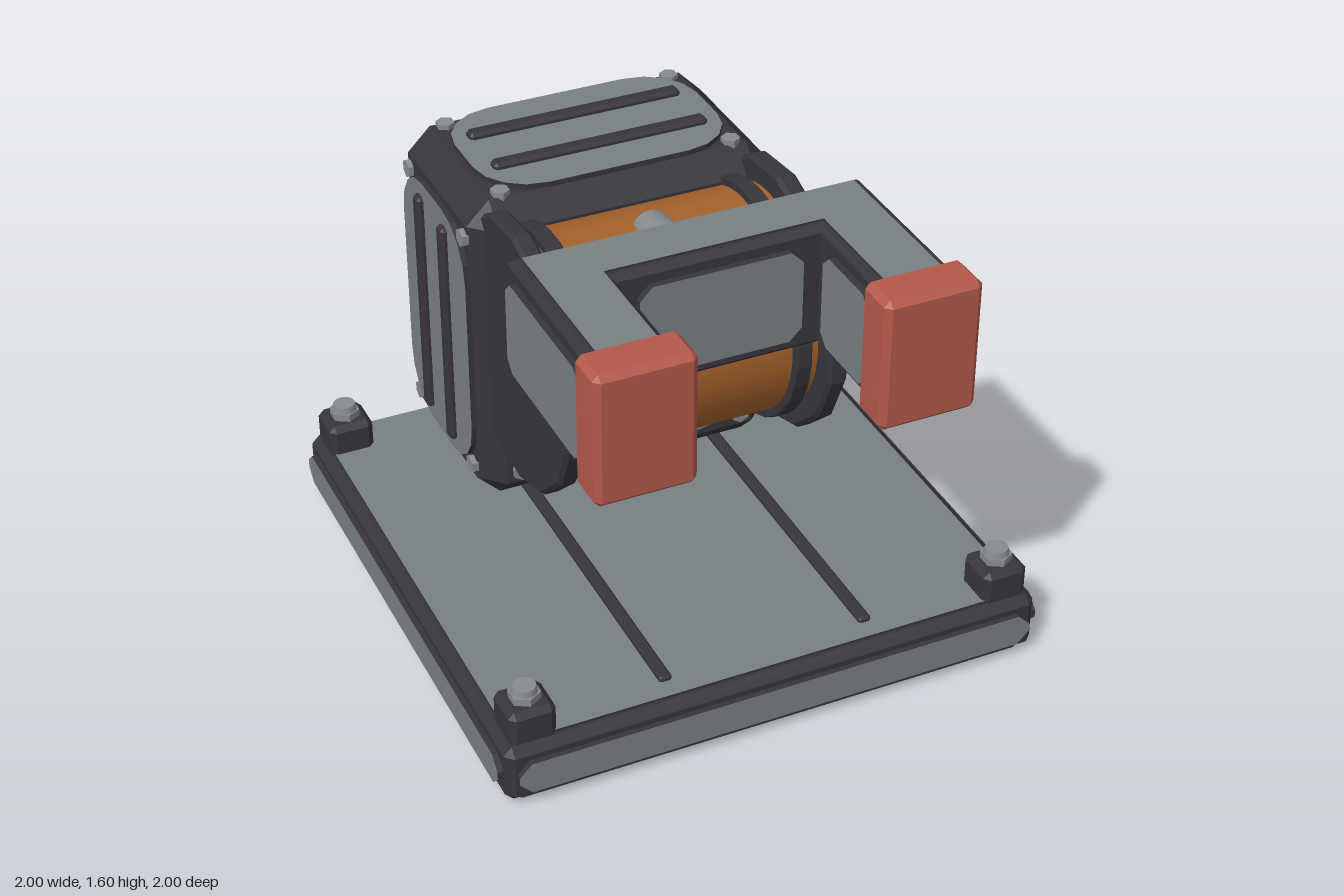
import * as THREE from 'three';
import { ConvexGeometry } from 'three/addons/geometries/ConvexGeometry.js';

const mat = (name, color) => {
  const m = new THREE.MeshStandardMaterial({ color });
  m.name = name;
  return m;
};

// Give every face its own normal
function facet(geo) {
  const g = geo.toNonIndexed();
  g.computeVertexNormals();
  return g;
}

// Box with all edges cut at 45 degrees
function chamferBox(w, h, d, c) {
  const pts = [];
  const half = [w / 2, h / 2, d / 2];
  for (const sx of [-1, 1]) for (const sy of [-1, 1]) for (const sz of [-1, 1]) {
    for (let full = 0; full < 3; full++) {
      const p = [sx, sy, sz].map((s, i) => s * (half[i] - (i === full ? 0 : c)));
      pts.push(new THREE.Vector3(...p));
    }
  }
  return new ConvexGeometry(pts);
}

// Rectangle with corners cut into a few straight segments
function panelShape(w, h, r, segs) {
  const pts = [];
  const corners = [[1, 1], [-1, 1], [-1, -1], [1, -1]];
  corners.forEach(([sx, sy], k) => {
    for (let i = 0; i <= segs; i++) {
      const a = (k + i / segs) * Math.PI / 2;
      pts.push(new THREE.Vector2(sx * (w / 2 - r) + r * Math.cos(a), sy * (h / 2 - r) + r * Math.sin(a)));
    }
  });
  return new THREE.Shape(pts);
}

// U outline for the magnet, drawn with y = -z
function yokeShape(outer, inner, back, bridge, tip) {
  return new THREE.Shape([
    [-outer, -back], [-outer, -tip], [-inner, -tip], [-inner, -bridge],
    [inner, -bridge], [inner, -tip], [outer, -tip], [outer, -back],
  ].map(([x, y]) => new THREE.Vector2(x, y)));
}

export function createModel() {
  const dark = mat('dark frame', 0x37353c);
  const grey = mat('grey panel', 0x798083);
  const steel = mat('steel', 0x868b8d);
  const copper = mat('copper winding', 0xa5622b);
  const red = mat('red pole', 0xb5594b);
  const model = new THREE.Group();
  model.name = 'electromagnetMachine';

  const add = (parent, name, geo, material, x = 0, y = 0, z = 0) => {
    const m = new THREE.Mesh(geo, material);
    m.name = name;
    m.position.set(x, y, z);
    parent.add(m);
    return m;
  };
  const group = (parent, name, x = 0, y = 0, z = 0) => {
    const g = new THREE.Group();
    g.name = name;
    g.position.set(x, y, z);
    parent.add(g);
    return g;
  };
  // Grey plate with a dark rim, lying in the local XY plane and facing +z
  const panel = (parent, name, w, h, r, segs, depth) => add(parent, name,
    new THREE.ExtrudeGeometry(panelShape(w, h, r, segs), { depth, bevelEnabled: false }), [grey, dark]);
  const hexBolt = (r, h) => facet(new THREE.CylinderGeometry(r, r, h, 6));

  // Base slab with a plate on every side
  const base = group(model, 'base');
  add(base, 'baseFrame', chamferBox(1.96, 0.22, 1.96, 0.03), dark, 0, 0.118, 0);
  for (let i = 0; i < 4; i++) {
    const side = group(base, 'baseSide');
    side.rotation.y = i * Math.PI / 2;
    panel(side, 'baseSidePanel', 1.89, 0.12, 0.045, 1, 0.02).position.set(0, 0.118, 0.98);
  }
  const topPlate = panel(base, 'baseTopPlate', 1.88, 1.88, 0.03, 1, 0.014);
  topPlate.rotation.x = -Math.PI / 2;
  topPlate.position.y = 0.224;
  const bottomPlate = panel(base, 'baseBottomPlate', 1.9, 1.9, 0.03, 1, 0.014);
  bottomPlate.rotation.x = Math.PI / 2;
  bottomPlate.position.y = 0.014;
  for (const x of [-0.37, 0.37]) add(base, 'baseRail', chamferBox(0.045, 0.04, 1.74, 0.008), dark, x, 0.238, 0);
  for (const x of [-0.87, 0.87]) for (const z of [-0.87, 0.87]) {
    const lug = group(base, 'cornerLug', x, 0, z);
    add(lug, 'lugBlock', chamferBox(0.165, 0.14, 0.165, 0.022), dark, 0, 0.28, 0);
    add(lug, 'lugNut', hexBolt(0.055, 0.03), steel, 0, 0.362, 0);
    add(lug, 'lugBoltHead', new THREE.CylinderGeometry(0.04, 0.046, 0.025, 12), steel, 0, 0.387, 0);
  }

  // Motor housing: chamfered block with ribbed, bolted panels
  const housing = group(model, 'housing', 0, 0.855, -0.6);
  add(housing, 'housingBlock', chamferBox(1.13, 1.21, 0.73, 0.085), dark);
  const faces = [
    { name: 'front', rot: [0, 0], out: 0.365, w: 0.92, h: 0.99, ribs: 0.19, len: 0.88 },
    { name: 'back', rot: [0, Math.PI], out: 0.365, w: 0.92, h: 0.99 },
    { name: 'left', rot: [0, Math.PI / 2], out: 0.565, w: 0.6, h: 0.99, ribs: 0.114, len: 0.88 },
    { name: 'right', rot: [0, -Math.PI / 2], out: 0.565, w: 0.6, h: 0.99, ribs: 0.114, len: 0.88 },
    { name: 'top', rot: [-Math.PI / 2, 0], out: 0.605, w: 0.92, h: 0.57, ribs: 0.114, len: 0.8, across: true },
  ];
  for (const f of faces) {
    const g = group(housing, f.name + 'HousingFace');
    g.rotation.set(f.rot[0], f.rot[1], 0);
    panel(g, 'housingPanel', f.w, f.h, f.w > 0.7 && f.h > 0.7 ? 0.25 : 0.2, 4, 0.02).position.z = f.out;
    if (f.ribs) for (const s of [-1, 1]) {
      const rib = add(g, 'housingRib', chamferBox(0.056, f.len, 0.045, 0.012), dark, s * f.ribs, 0, f.out + 0.02);
      if (f.across) {
        rib.rotation.z = Math.PI / 2;
        rib.position.set(0, s * f.ribs, f.out + 0.02);
      }
    }
    const bx = f.w > 0.7 ? 0.43 : 0.257;
    const by = f.h > 0.7 ? 0.47 : 0.257;
    for (const x of [-bx, bx]) for (const y of [-by, by]) {
      add(g, 'housingBolt', hexBolt(0.034, 0.03), steel, x, y, f.out + 0.003).rotation.x = Math.PI / 2;
    }
  }

  // Drum: copper winding, two bands and two faceted cheeks, axis along x
  const drum = group(model, 'drum', 0, 1, -0.07);
  const winding = new THREE.CylinderGeometry(0.4, 0.4, 0.92, 48);
  add(drum, 'winding', winding.rotateZ(Math.PI / 2), copper);
  const disc = (r, w, c, segs) => facet(new THREE.LatheGeometry([
    [0, -w / 2], [r - c, -w / 2], [r, -w / 2 + c], [r, w / 2 - c], [r - c, w / 2], [0, w / 2],
  ].map(([x, y]) => new THREE.Vector2(x, y)), segs, Math.PI / segs)).rotateZ(Math.PI / 2);
  for (const s of [-1, 1]) {
    add(drum, 'drumBand', disc(0.432, 0.06, 0.004, 32), dark, s * 0.376, 0, 0);
    add(drum, 'drumCheek', disc(0.492, 0.075, 0.014, 15), dark, s * 0.48, 0, 0);
  }

  // Horseshoe magnet
  const magnet = group(model, 'magnet');
  const yoke = new THREE.ExtrudeGeometry(yokeShape(0.63, 0.36, 0.222, 0.47, 0.95), {
    depth: 0.41, bevelEnabled: true, bevelThickness: 0.022, bevelSize: 0.022, bevelOffset: -0.022, bevelSegments: 1,
  });
  yoke.rotateX(-Math.PI / 2);
  add(magnet, 'yoke', yoke, dark, 0, 1.143, 0);
  for (const y of [1.567, 1.113]) {
    const cover = new THREE.ExtrudeGeometry(yokeShape(0.592, 0.388, 0.255, 0.435, 0.9), { depth: 0.016, bevelEnabled: false });
    add(magnet, 'yokeCover', cover.rotateX(-Math.PI / 2), [grey, dark], 0, y, 0);
  }
  panel(magnet, 'yokeFrontPanel', 0.58, 0.34, 0.045, 1, 0.024).position.set(0, 1.35, 0.47);
  const backPanel = panel(magnet, 'yokeBackPanel', 1.18, 0.34, 0.045, 1, 0.022);
  backPanel.rotation.y = Math.PI;
  backPanel.position.set(0, 1.35, 0.222);
  for (const s of [-1, 1]) {
    const outer = panel(magnet, 'armOuterPanel', 0.59, 0.34, 0.04, 1, 0.022);
    outer.rotation.y = s * Math.PI / 2;
    outer.position.set(s * 0.63, 1.35, 0.55);
    const inner = panel(magnet, 'armInnerPanel', 0.31, 0.34, 0.04, 1, 0.024);
    inner.rotation.y = -s * Math.PI / 2;
    inner.position.set(s * 0.36, 1.35, 0.69);
    add(magnet, 'redPole', chamferBox(0.348, 0.485, 0.165, 0.022), red, s * 0.49, 1.353, 0.915);
  }

  // Tapered pin joining the magnet to the drum, wide end at the magnet
  const pin = new THREE.LatheGeometry(
    [[0.09, 0], [0.088, 0.06], [0.068, 0.28], [0.058, 0.295], [0, 0.295]].map(([x, y]) => new THREE.Vector2(x, y)), 24);
  add(model, 'magnetPin', pin.rotateX(-Math.PI / 2), steel, 0, 1.37, 0.21);
  return model;
}
